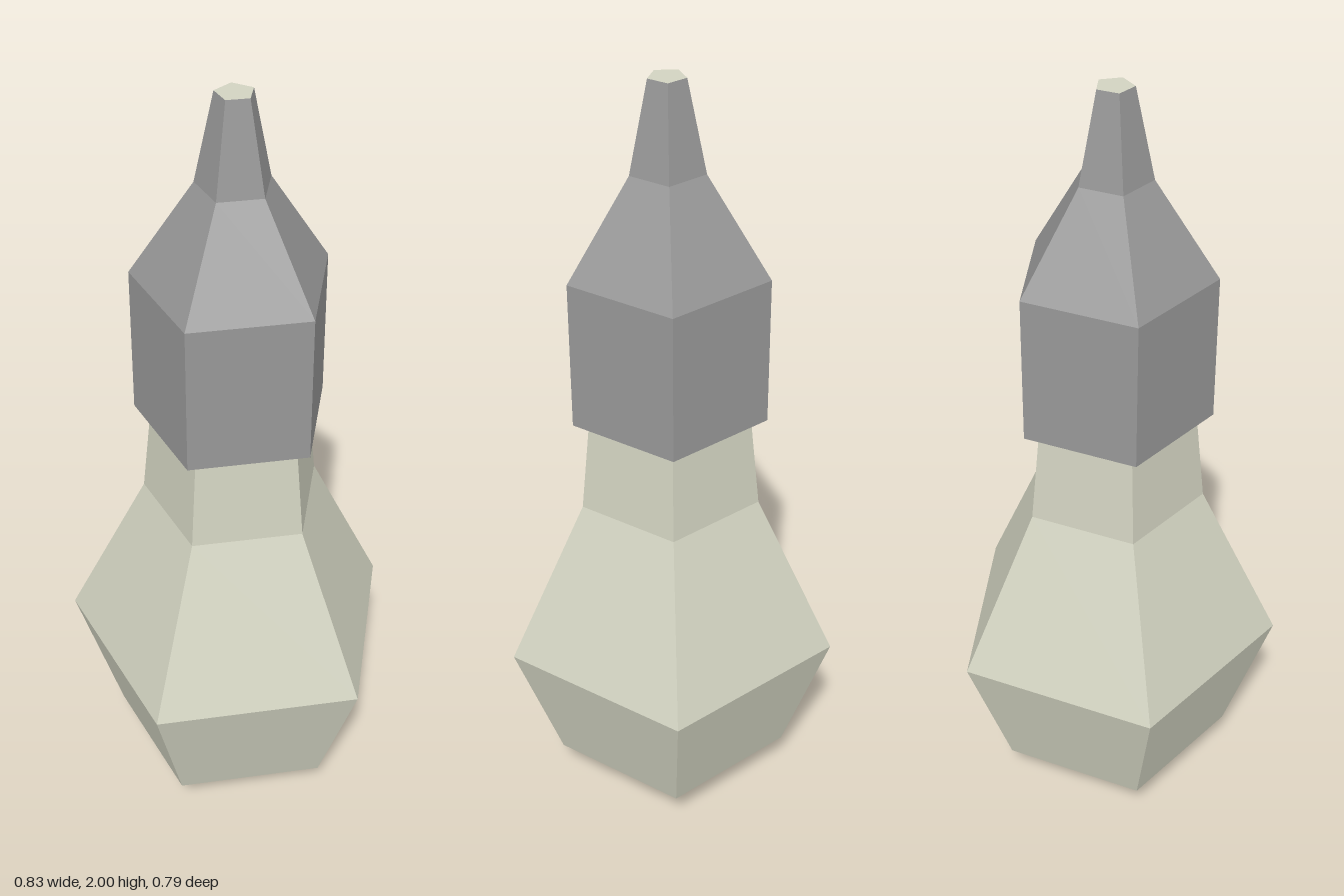
import * as THREE from 'three';

const SIDES = 5;

// Five-sided turned part with a flat face to the front; profile is [radius, height] from bottom to top
function turned(name, profile, material) {
  const points = profile.map(([r, y]) => new THREE.Vector2(r, y));
  const mesh = new THREE.Mesh(new THREE.LatheGeometry(points, SIDES, Math.PI), material);
  mesh.name = name;
  return mesh;
}

export function createModel() {
  const cream = new THREE.MeshStandardMaterial({ color: 0xd2d3c1, flatShading: true });
  cream.name = 'cream';
  const grey = new THREE.MeshStandardMaterial({ color: 0x989898, flatShading: true });
  grey.name = 'grey';

  const model = new THREE.Group();
  model.name = 'bulb';

  // Bulb body, closed below, neck running up to the collar
  model.add(turned('bulbBody', [
    [0, 0], [0.088, 0], [0.316, 0.125], [0.437, 0.48], [0.232, 0.91], [0.207, 1.155],
  ], cream));

  // Collar with its underside rim, shoulder and tapered tip
  model.add(turned('collar', [
    [0.207, 1.155], [0.248, 1.155], [0.248, 1.535], [0.092, 1.78], [0.046, 2],
  ], grey));

  // Small face closing the tip
  const tip = new THREE.Mesh(new THREE.CircleGeometry(0.046, SIDES, Math.PI / 2), cream);
  tip.name = 'tipFace';
  tip.rotation.x = -Math.PI / 2;
  tip.position.y = 2;
  model.add(tip);

  // A pentagon reaches further to its corner, so shift it to centre its depth
  model.children.forEach((part) => { part.position.z = 0.041; });
  return model;
}
